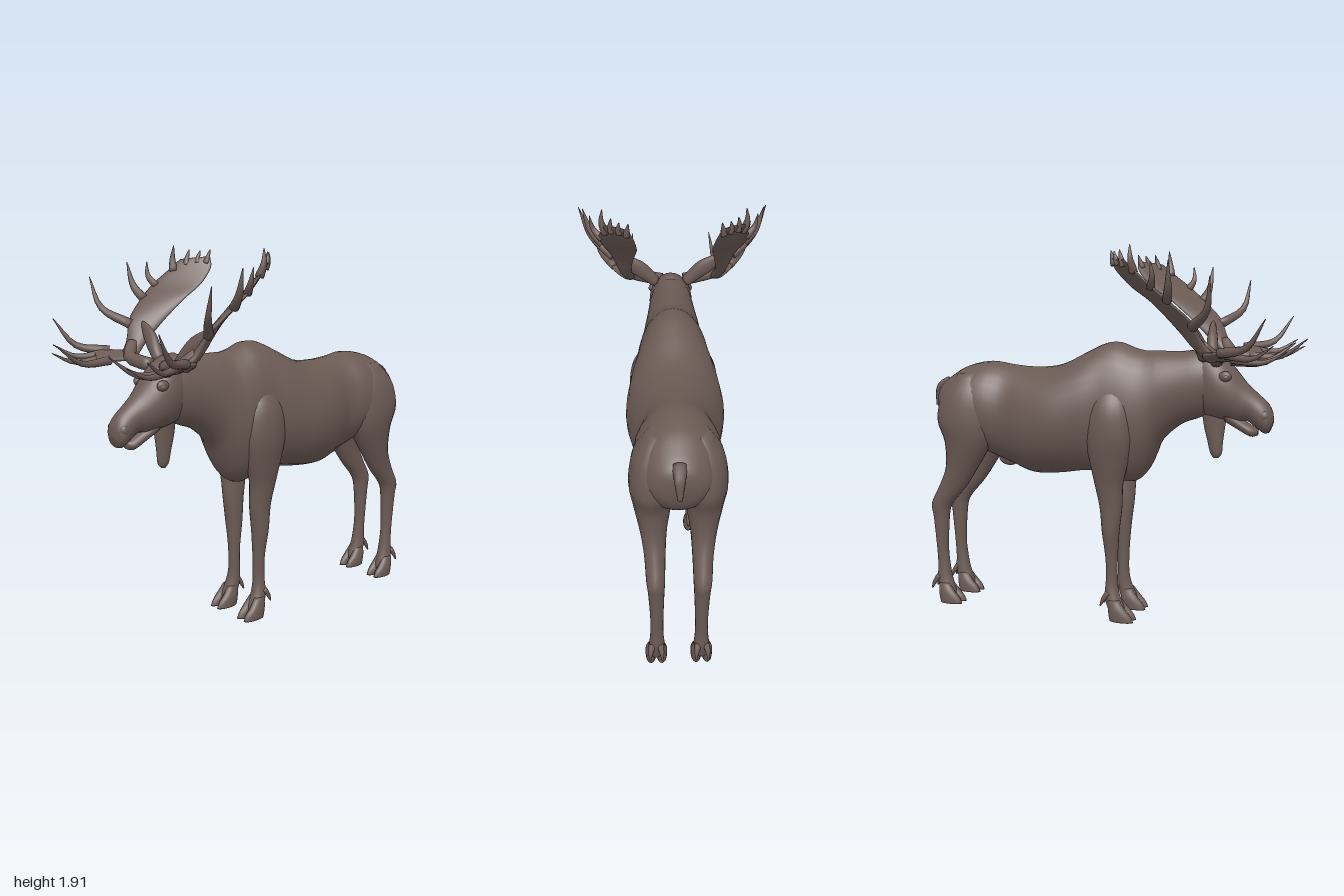
import * as THREE from 'three';

const V = (x, y, z) => new THREE.Vector3(x, y, z);
const hide = new THREE.MeshStandardMaterial({ color: 0x6b5a54 });
hide.name = 'brown hide';

// Smooth closed skin through elliptical rings [centre, axisU, axisV]
function loft(rings, sub = 4, seg = 20) {
  const curves = [0, 1, 2].map(k => new THREE.CatmullRomCurve3(rings.map(r => r[k]), false, 'catmullrom', 0.5));
  const rows = (rings.length - 1) * sub, pos = [], idx = [];
  for (let i = 0; i <= rows; i++) {
    const [c, u, v] = curves.map(q => q.getPoint(i / rows));
    for (let j = 0; j < seg; j++) {
      const a = j / seg * Math.PI * 2;
      pos.push(...c.clone().addScaledVector(u, Math.cos(a)).addScaledVector(v, Math.sin(a)).toArray());
    }
  }
  const first = rings[0], last = rings[rings.length - 1];
  pos.push(...first[0].toArray(), ...last[0].toArray());
  const tip = (rows + 1) * seg;
  // keep the faces pointing outwards whichever way the rings run
  const m = rings[Math.floor(rings.length / 2)];
  const out = m[1].clone().cross(m[2]).dot(last[0].clone().sub(first[0])) > 0;
  const tri = (a, b, c) => out ? idx.push(a, b, c) : idx.push(a, c, b);
  for (let j = 0; j < seg; j++) {
    const k = (j + 1) % seg;
    for (let i = 0; i < rows; i++) {
      const a = i * seg + j, b = i * seg + k;
      tri(a, b, b + seg);
      tri(a, b + seg, a + seg);
    }
    tri(tip, k, j);
    tri(tip + 1, rows * seg + j, rows * seg + k);
  }
  const g = new THREE.BufferGeometry();
  g.setAttribute('position', new THREE.Float32BufferAttribute(pos, 3));
  g.setIndex(idx);
  g.computeVertexNormals();
  return g;
}

// Upright ring from a top and a bottom point of the side profile, with half width
const profile = (zt, yt, zb, yb, w) =>
  [V(0, (yt + yb) / 2, (zt + zb) / 2), V(w, 0, 0), V(0, (yt - yb) / 2, (zt - zb) / 2)];
// Level ring for legs
const level = (y, z, rz, x, rx) => [V(x, y, z), V(rx, 0, 0), V(0, 0, rz)];
// Ring spanning two edge points of a plate
function span(a, b, thick) {
  const u = b.clone().sub(a).multiplyScalar(0.5);
  return { c: a.clone().add(b).multiplyScalar(0.5), u, thick };
}
function plate(pairs) {
  const s = pairs.map(([a, b, t]) => span(V(...a), V(...b), t));
  return loft(s.map((r, i) => {
    const d = s[Math.min(i + 1, s.length - 1)].c.clone().sub(s[Math.max(i - 1, 0)].c);
    return [r.c, r.u, d.cross(r.u).normalize().multiplyScalar(r.thick)];
  }), 4, 16);
}
// Round tapering horn or tail
function taper(points, r0, r1, seg = 10) {
  const curve = new THREE.CatmullRomCurve3(points.map(p => V(...p)));
  const n = 8, f = curve.computeFrenetFrames(n, false), rings = [];
  for (let i = 0; i <= n; i++) {
    const r = r0 + (r1 - r0) * (i / n) ** 1.4;
    rings.push([curve.getPointAt(i / n), f.normals[i].clone().multiplyScalar(r), f.binormals[i].clone().multiplyScalar(r)]);
  }
  return loft(rings, 1, seg);
}

export function createModel() {
  const model = new THREE.Group();
  const animal = new THREE.Group();
  animal.name = 'animal';
  animal.position.x = 0.012;
  model.add(animal);
  const add = (name, geo, parent = animal) => {
    const mesh = new THREE.Mesh(geo, hide);
    mesh.name = name;
    parent.add(mesh);
    return mesh;
  };
  const ball = (name, x, y, z, sx, sy, sz) => {
    const b = add(name, new THREE.SphereGeometry(1, 18, 12));
    b.position.set(x, y, z);
    b.scale.set(sx, sy, sz);
    return b;
  };

  // Trunk and neck: z, top, bottom, half width
  add('body', loft([
    [-0.955, 1.17, 1.08, 0.04], [-0.93, 1.21, 1.0, 0.11], [-0.87, 1.255, 0.93, 0.165],
    [-0.78, 1.305, 0.88, 0.195], [-0.65, 1.33, 0.83, 0.205], [-0.53, 1.315, 0.785, 0.185],
    [-0.4, 1.305, 0.74, 0.22], [-0.25, 1.32, 0.745, 0.243], [-0.1, 1.39, 0.765, 0.222],
    [0, 1.435, 0.755, 0.197], [0.08, 1.44, 0.725, 0.19], [0.15, 1.415, 0.72, 0.185],
    [0.21, 1.4, 0.76, 0.172], [0.255, 1.4, 0.835, 0.16], [0.3, 1.4, 0.94, 0.148],
    [0.4, 1.4, 1.03, 0.13], [0.5, 1.41, 1.07, 0.115], [0.58, 1.39, 1.12, 0.09], [0.62, 1.35, 1.17, 0.04],
  ].map(([z, t, b, w]) => profile(z, t, z, b, w)), 4, 32));
  ball('bellyBump', 0, 0.805, -0.56, 0.03, 0.04, 0.06);
  add('tail', taper([[0, 1.21, -0.91], [0, 1.18, -0.965], [0, 1.13, -0.98], [0, 1.08, -0.988]], 0.032, 0.011));

  // Head
  add('head', loft([
    profile(0.47, 1.39, 0.49, 1.13, 0.07), profile(0.51, 1.42, 0.51, 1.09, 0.1),
    profile(0.59, 1.4, 0.58, 1.07, 0.117), profile(0.66, 1.335, 0.64, 1.06, 0.108),
    profile(0.73, 1.25, 0.69, 1.055, 0.085), profile(0.79, 1.195, 0.735, 1.06, 0.069),
    profile(0.835, 1.155, 0.785, 1.025, 0.067), profile(0.86, 1.11, 0.82, 1.002, 0.064),
    profile(0.866, 1.06, 0.845, 1.005, 0.035),
  ], 4, 28));
  add('lowerJaw', loft([
    profile(0.63, 1.13, 0.63, 1.05, 0.06), profile(0.71, 1.07, 0.69, 1.015, 0.047),
    profile(0.765, 1.035, 0.755, 0.982, 0.04), profile(0.79, 1.025, 0.79, 0.99, 0.018),
  ]));
  add('throatFlap', loft([
    level(1.14, 0.57, 0.07, 0, 0.035), level(1.03, 0.57, 0.055, 0, 0.03), level(0.95, 0.575, 0.04, 0, 0.027),
    level(0.89, 0.58, 0.03, 0, 0.022), level(0.865, 0.58, 0.012, 0, 0.01),
  ]));

  const antlerTines = [
    [[0.32, 1.53, 0.53], [0.44, 1.61, 0.625], [0.5, 1.76, 0.65], 0.026],
    [[0.365, 1.65, 0.42], [0.425, 1.71, 0.44], [0.465, 1.83, 0.45], 0.024],
    [[0.365, 1.71, 0.34], [0.41, 1.76, 0.36], [0.425, 1.83, 0.355], 0.02],
    [[0.34, 1.78, 0.25], [0.36, 1.84, 0.24], [0.355, 1.91, 0.235], 0.022],
    [[0.31, 1.81, 0.19], [0.315, 1.85, 0.18], [0.31, 1.89, 0.17], 0.018],
    [[0.27, 1.82, 0.15], [0.275, 1.85, 0.14], [0.27, 1.885, 0.13], 0.018],
    [[0.235, 1.82, 0.12], [0.232, 1.85, 0.11], [0.225, 1.89, 0.1], 0.018],
    [[0.32, 1.41, 0.66], [0.4, 1.44, 0.8], [0.45, 1.57, 0.89], 0.024],
    [[0.31, 1.4, 0.69], [0.365, 1.39, 0.82], [0.405, 1.45, 0.92], 0.02],
    [[0.28, 1.38, 0.71], [0.315, 1.37, 0.86], [0.325, 1.42, 0.97], 0.02],
    [[0.25, 1.37, 0.7], [0.24, 1.37, 0.86], [0.22, 1.46, 0.995], 0.022],
  ];

  for (const s of [1, -1]) {
    const side = s > 0 ? 'left' : 'right';
    const flip = p => [p[0] * s, p[1], p[2]];

    // Face details and ears
    ball(side + 'EyeSocket', s * 0.098, 1.285, 0.64, 0.02, 0.026, 0.032);
    ball(side + 'Eye', s * 0.108, 1.28, 0.645, 0.014, 0.014, 0.016);
    ball(side + 'Nostril', s * 0.05, 1.09, 0.825, 0.02, 0.028, 0.025);
    add(side + 'Ear', loft([
      [0.08, 1.375, 0.53, 0.028, 0.03], [0.125, 1.42, 0.525, 0.036, 0.03], [0.175, 1.465, 0.515, 0.043, 0.026],
      [0.23, 1.507, 0.505, 0.033, 0.018], [0.265, 1.533, 0.498, 0.016, 0.01], [0.28, 1.545, 0.495, 0.003, 0.003],
    ].map(([x, y, z, w, t]) => [V(s * x, y, z), V(-s * 0.63 * w, 0.78 * w, 0), V(0, 0, t)])));

    // Antler: beam, main palm, brow palm and tines
    const antler = new THREE.Group();
    antler.name = side + 'Antler';
    model.add(antler);
    add('beam', taper([[0.06, 1.36, 0.59], [0.14, 1.37, 0.605], [0.21, 1.385, 0.61], [0.265, 1.44, 0.56]].map(flip), 0.034, 0.03, 14), antler);
    add('palm', plate([
      [[0.21, 1.38, 0.57], [0.27, 1.37, 0.64], 0.022], [[0.225, 1.45, 0.5], [0.295, 1.45, 0.575], 0.022],
      [[0.215, 1.55, 0.4], [0.335, 1.55, 0.53], 0.017], [[0.195, 1.65, 0.29], [0.37, 1.63, 0.45], 0.014],
      [[0.188, 1.72, 0.19], [0.385, 1.71, 0.36], 0.012], [[0.2, 1.8, 0.115], [0.365, 1.78, 0.275], 0.01],
      [[0.225, 1.855, 0.1], [0.345, 1.84, 0.205], 0.006],
    ].map(([a, b, t]) => [flip(a), flip(b), t])), antler);
    add('browPalm', plate([
      [[0.2, 1.375, 0.59], [0.28, 1.4, 0.57], 0.022], [[0.215, 1.37, 0.64], [0.32, 1.405, 0.62], 0.018],
      [[0.23, 1.37, 0.71], [0.345, 1.415, 0.68], 0.015], [[0.25, 1.37, 0.77], [0.345, 1.41, 0.73], 0.01],
    ].map(([a, b, t]) => [flip(a), flip(b), t])), antler);
    antlerTines.forEach(([a, b, c, r], i) => add('tine' + (i + 1), taper([a, b, c].map(flip), r, 0.002), antler));

    // Legs: y, z, half depth, x, half width
    const leg = rows => loft(rows.map(([y, z, rz, x, rx]) => level(y, z, rz, s * x, rx)), 4, 20);
    add(side + 'FrontLeg', leg([
      [1.24, 0.06, 0.05, 0.12, 0.03], [1.12, 0.06, 0.11, 0.14, 0.075], [0.97, 0.06, 0.125, 0.145, 0.08],
      [0.83, 0.055, 0.1, 0.135, 0.065], [0.72, 0.05, 0.076, 0.12, 0.056], [0.6, 0.058, 0.06, 0.11, 0.05],
      [0.47, 0.056, 0.046, 0.108, 0.047], [0.38, 0.058, 0.037, 0.104, 0.038], [0.3, 0.06, 0.031, 0.102, 0.032],
      [0.2, 0.06, 0.031, 0.102, 0.032], [0.13, 0.065, 0.04, 0.107, 0.038], [0.07, 0.085, 0.045, 0.112, 0.042],
      [0.04, 0.095, 0.04, 0.112, 0.036],
    ]));
    add(side + 'HindLeg', leg([
      [1.27, -0.74, 0.06, 0.1, 0.04], [1.16, -0.745, 0.145, 0.115, 0.09], [1.02, -0.755, 0.165, 0.12, 0.107],
      [0.9, -0.748, 0.133, 0.12, 0.092], [0.76, -0.79, 0.092, 0.117, 0.064], [0.65, -0.85, 0.078, 0.112, 0.05],
      [0.55, -0.918, 0.06, 0.11, 0.044], [0.47, -0.925, 0.045, 0.108, 0.038], [0.3, -0.922, 0.033, 0.107, 0.031],
      [0.2, -0.915, 0.035, 0.108, 0.032], [0.13, -0.91, 0.043, 0.109, 0.038], [0.07, -0.893, 0.045, 0.112, 0.042],
      [0.04, -0.885, 0.04, 0.112, 0.036],
    ]));

    // Cloven hooves with dewclaws
    for (const [end, z] of [['Front', 0], ['Hind', -0.985]]) {
      for (const t of [-1, 1]) {
        const x = 0.112 + t * 0.027;
        add(side + end + 'Hoof', leg([
          [0.11, z + 0.08, 0.03, x - t * 0.006, 0.02], [0.065, z + 0.098, 0.046, x, 0.025],
          [0.03, z + 0.115, 0.06, x, 0.027], [0, z + 0.125, 0.064, x, 0.026],
        ]));
        add(side + end + 'Dewclaw', taper([
          [s * (x - t * 0.008), 0.145, z + 0.05], [s * x, 0.11, z + 0.025], [s * (x + t * 0.003), 0.075, z + 0.01],
        ], 0.017, 0.004));
      }
    }
  }
  return model;
}
